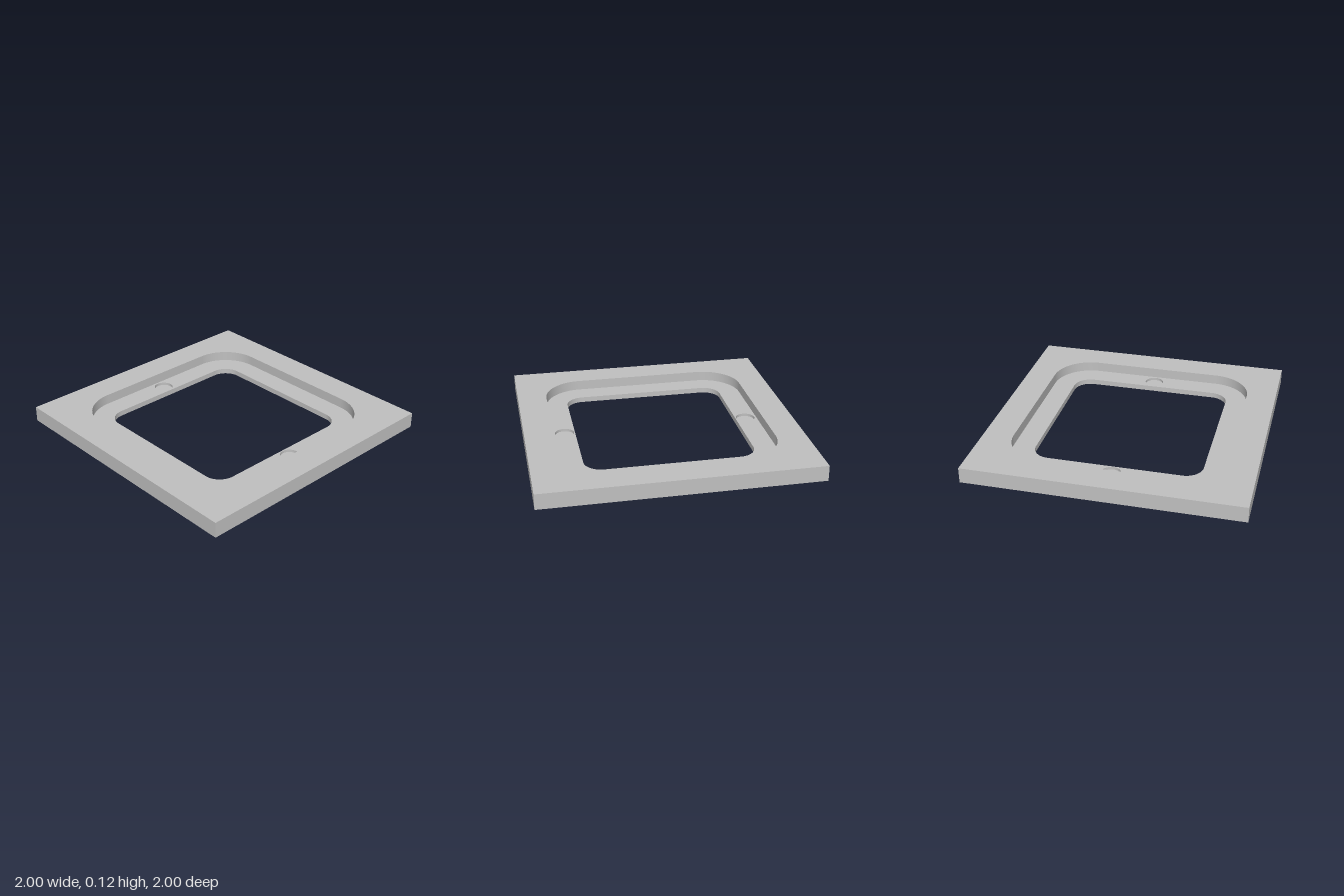
import * as THREE from 'three';

const H = 0.115;       // overall thickness
const LEDGE = 0.04;    // height of the recessed ledge
const POCKET = 0.02;   // height of the pocket floors

// Rounded square outline, counter-clockwise
function roundedSquare(a, r) {
  const s = new THREE.Shape();
  const c = a - r;
  s.moveTo(a, -c);
  s.lineTo(a, c);
  s.absarc(c, c, r, 0, Math.PI / 2);
  s.lineTo(-c, a);
  s.absarc(-c, c, r, Math.PI / 2, Math.PI);
  s.lineTo(-a, -c);
  s.absarc(-c, -c, r, Math.PI, Math.PI * 1.5);
  s.lineTo(c, -a);
  s.absarc(c, -c, r, Math.PI * 1.5, Math.PI * 2);
  return s;
}

function square(a) {
  return new THREE.Shape([[-a, -a], [a, -a], [a, a], [-a, a]].map(p => new THREE.Vector2(...p)));
}

function circle(x, r) {
  return new THREE.Shape().absarc(x, 0, r, 0, Math.PI * 2);
}

// Flat face at height y with cut-outs, facing up or down
function cap(outline, holes, y, up = true) {
  const s = new THREE.Shape(outline.getPoints(16));
  s.holes = holes.map(h => new THREE.Path(h.getPoints(16)));
  return new THREE.ShapeGeometry(s).rotateX(up ? -Math.PI / 2 : Math.PI / 2).translate(0, y, 0);
}

// Upright band following an outline; inward bands line a cut-out
function wall(outline, y0, y1, inward) {
  const pts = outline.getPoints(16).filter((p, i, all) => i === 0 || p.distanceTo(all[i - 1]) > 1e-5);
  if (pts[0].distanceTo(pts[pts.length - 1]) < 1e-5) pts.pop();
  const pos = [], index = [], n = pts.length;
  pts.forEach((p, i) => {
    pos.push(p.x, y0, -p.y, p.x, y1, -p.y);
    const a = 2 * i, b = 2 * ((i + 1) % n);
    if (inward) index.push(a, b + 1, b, a, a + 1, b + 1);
    else index.push(a, b, b + 1, a, b + 1, a + 1);
  });
  let g = new THREE.BufferGeometry();
  g.setAttribute('position', new THREE.Float32BufferAttribute(pos, 3));
  g.setIndex(index);
  if (!inward) g = g.toNonIndexed(); // keeps the square corners sharp
  g.computeVertexNormals();
  return g;
}

export function createModel() {
  const group = new THREE.Group();
  const grey = new THREE.MeshStandardMaterial({ color: 0xc0c0c0 });
  grey.name = 'grey';
  const add = (name, geometry) => {
    const mesh = new THREE.Mesh(geometry, grey);
    mesh.name = name;
    group.add(mesh);
  };

  const outer = square(1);
  const recess = roundedSquare(0.78, 0.29);
  const opening = roundedSquare(0.617, 0.13);
  const pockets = [-0.695, 0.695].map(x => circle(x, 0.071));

  // Square plate
  add('outerSides', wall(outer, 0, H, false));
  add('topFace', cap(outer, [recess], H));
  add('bottomFace', cap(outer, [opening], 0, false));

  // Stepped recess and through opening
  add('recessWall', wall(recess, LEDGE, H, true));
  add('ledge', cap(recess, [opening, ...pockets], LEDGE));
  add('openingWall', wall(opening, 0, LEDGE, true));

  // Round blind pockets in the ledge
  pockets.forEach((p, i) => {
    const side = i ? 'left' : 'right';
    add(side + 'PocketWall', wall(p, POCKET, LEDGE, true));
    add(side + 'PocketFloor', cap(p, [], POCKET));
  });
  return group;
}
